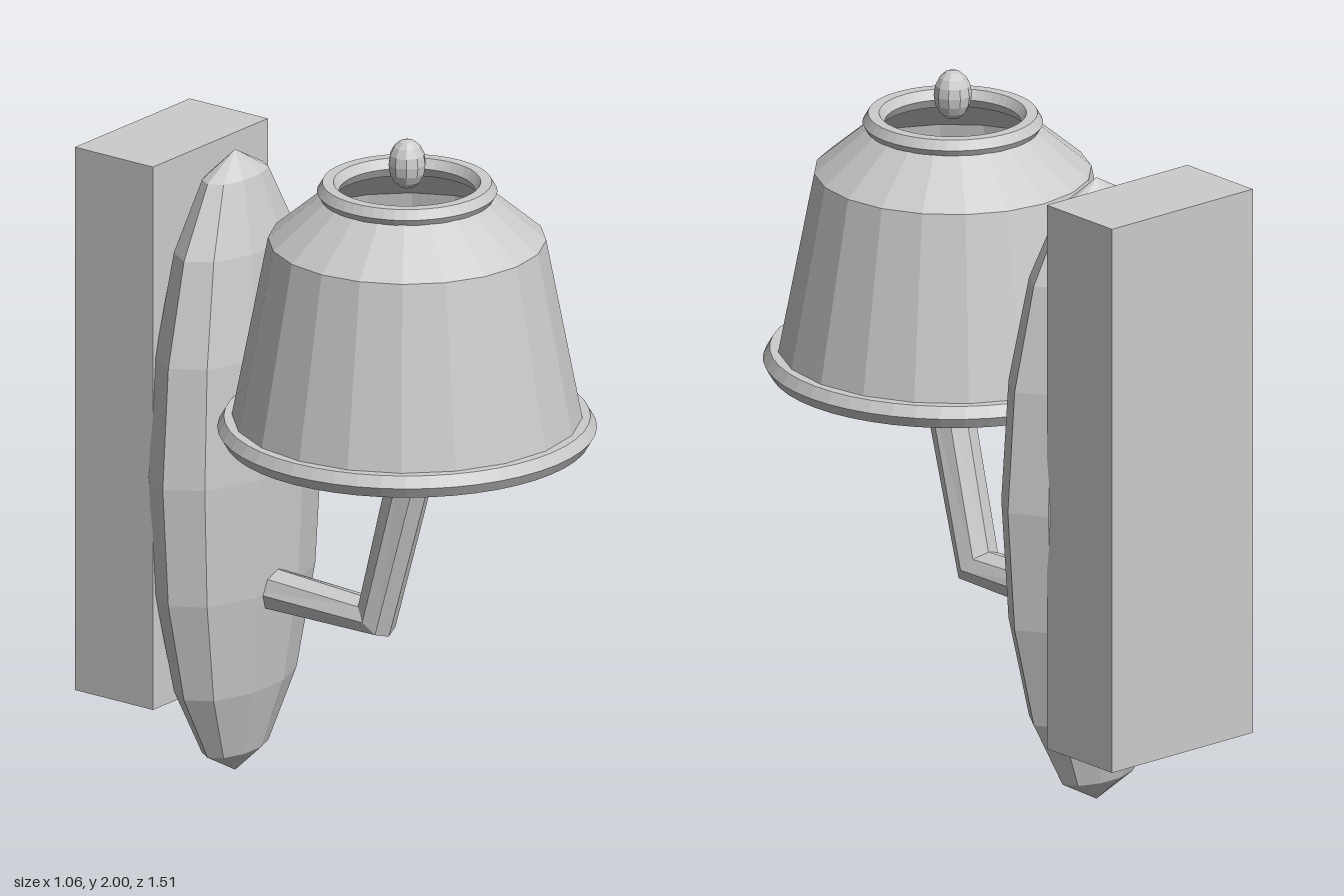
import * as THREE from 'three';

const material = new THREE.MeshStandardMaterial({ color: 0xcccccc, flatShading: true });
const thinMaterial = new THREE.MeshStandardMaterial({ color: 0xcccccc, flatShading: true, side: THREE.DoubleSide });

const SHADE_Z = 0.22;

function part(name, geometry, x, y, z, mat = material) {
  const mesh = new THREE.Mesh(geometry, mat);
  mesh.name = name;
  mesh.position.set(x, y, z);
  return mesh;
}

// Faceted ellipsoid with the given radii
function ellipsoid(rx, ry, rz, around, rows) {
  return new THREE.SphereGeometry(1, around, rows).scale(rx, ry, rz);
}

// Horizontal rim
function rim(radius, thickness) {
  return new THREE.TorusGeometry(radius, thickness, 6, 48).rotateX(Math.PI / 2);
}

// Octagonal bent bar: each ring has a centre (y, z) and a tilt vector (y, z)
// pointing to its outer/lower side
function bentBar(rings, radius, sides = 8) {
  const pos = [], index = [];
  for (const { c, t } of rings) {
    const len = Math.hypot(t[0], t[1]);
    for (let i = 0; i < sides; i++) {
      const a = (i / sides) * Math.PI * 2;
      const s = (radius * Math.cos(a)) / len;
      pos.push(radius * Math.sin(a), c[0] + t[0] * s, c[1] + t[1] * s);
    }
  }
  const last = (rings.length - 1) * sides;
  for (let r = 0; r < last; r += sides) {
    for (let i = 0; i < sides; i++) {
      const j = (i + 1) % sides;
      index.push(r + i, r + j, r + sides + i, r + j, r + sides + j, r + sides + i);
    }
  }
  // End caps
  for (let i = 1; i < sides - 1; i++) {
    index.push(0, i + 1, i, last, last + i, last + i + 1);
  }
  const g = new THREE.BufferGeometry();
  g.setAttribute('position', new THREE.Float32BufferAttribute(pos, 3));
  g.setIndex(index);
  g.computeVertexNormals();
  return g;
}

export function createModel() {
  const lamp = new THREE.Group();
  lamp.name = 'wallLamp';

  // Wall mount and rounded backplate
  lamp.add(part('wallBlock', new THREE.BoxGeometry(0.524, 1.61, 0.277), 0, 1.035, -0.6165));
  lamp.add(part('backplate', ellipsoid(0.33, 0.92, 0.17, 10, 8), 0, 0.92, -0.39));

  // Bent arm from backplate to below the shade
  const arm = bentBar([
    { c: [0.567, -0.36], t: [-1, 0] },
    { c: [0.561, 0.112], t: [-0.098, 0.084] },
    { c: [1.063, 0.248], t: [-0.035, 0.127] },
  ], 0.066);
  lamp.add(part('arm', arm, 0, 0, 0, thinMaterial));

  // Open shade with a rim at each end
  const profile = [[0.497, 1.15], [0.39, 1.705], [0.225, 1.845]].map(([r, y]) => new THREE.Vector2(r, y));
  const shade = new THREE.Group();
  shade.name = 'shade';
  shade.position.z = SHADE_Z;
  shade.add(part('shadeWall', new THREE.LatheGeometry(profile, 20), 0, 0, 0, thinMaterial));
  shade.add(part('lowerRim', rim(0.495, 0.037), 0, 1.148, 0));
  shade.add(part('upperRim', rim(0.222, 0.031), 0, 1.847, 0));
  lamp.add(shade);

  // Finial in the shade opening
  lamp.add(part('finial', ellipsoid(0.054, 0.072, 0.054, 10, 8), 0, 1.928, SHADE_Z));

  return lamp;
}
